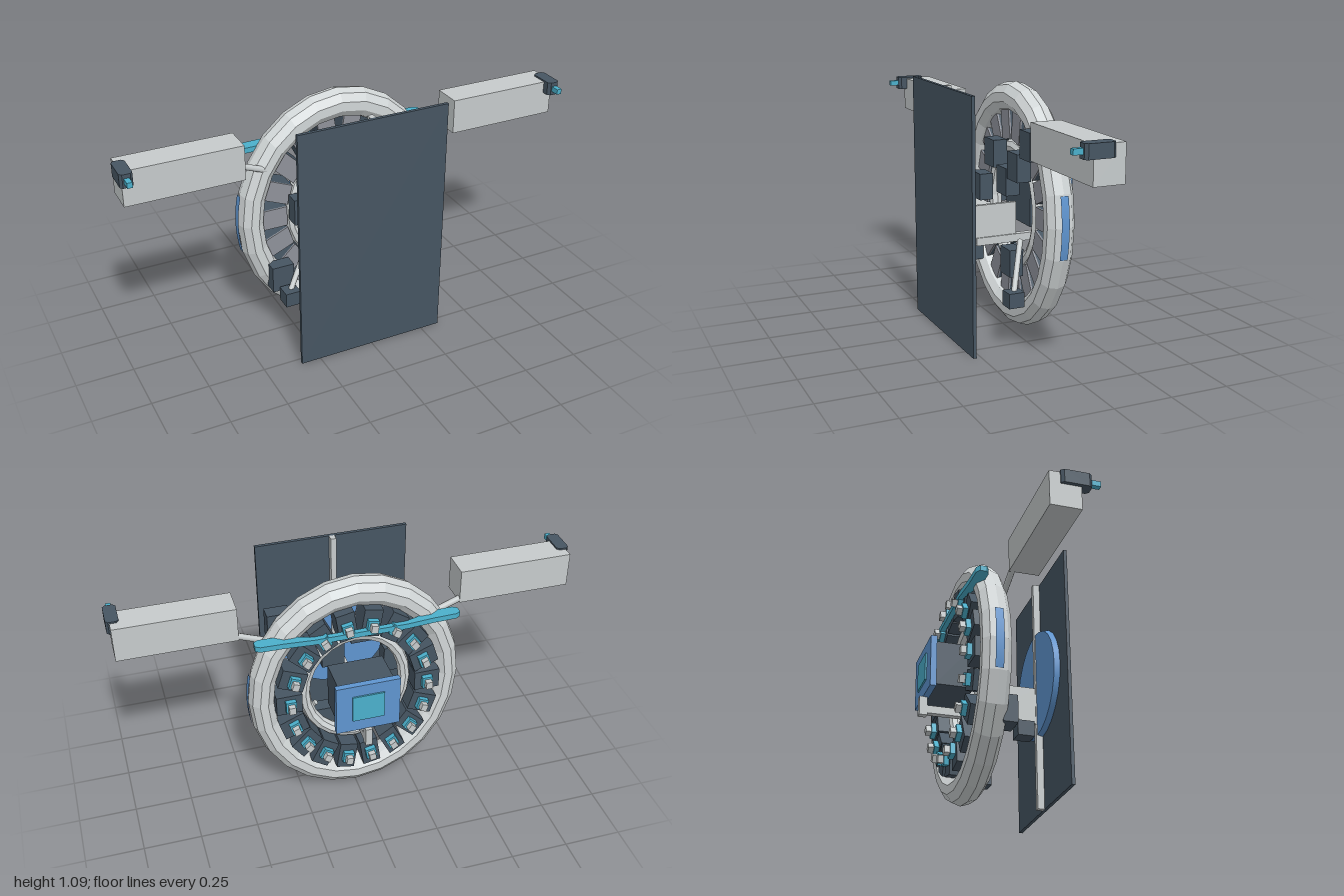
import * as THREE from 'three';

const mat = (name, color, flatShading = false) => {
  const m = new THREE.MeshStandardMaterial({ color, flatShading });
  m.name = name;
  return m;
};

export function createModel() {
  const hull = mat('hull grey', 0xc6cbcc);
  const ringHull = mat('ring white', 0xd2d7d8, true);
  const dark = mat('dark slate', 0x465562);
  const blue = mat('blue', 0x5f95d0);
  const cyan = mat('cyan', 0x4bb0cc);
  const lining = mat('lining grey', 0x8f929a);

  const model = new THREE.Group();
  model.name = 'spaceStation';
  const CY = 0.5475; // ring centre height
  const SX = 0.866; // ring is narrower than tall

  const add = (name, geo, material, parent = model) => {
    const m = new THREE.Mesh(geo, material);
    m.name = name;
    parent.add(m);
    return m;
  };
  // box given by its limits on each axis
  const box = (name, material, [x0, x1], [y0, y1], [z0, z1], parent) => {
    const m = add(name, new THREE.BoxGeometry(x1 - x0, y1 - y0, z1 - z0), material, parent);
    m.position.set((x0 + x1) / 2, (y0 + y1) / 2, (z0 + z1) / 2);
    return m;
  };
  const strut = (name, a, b, r, material) => {
    const p = new THREE.Vector3(...a), q = new THREE.Vector3(...b);
    const m = add(name, new THREE.CylinderGeometry(r, r, p.distanceTo(q), 8), material);
    m.position.copy(p).add(q).multiplyScalar(0.5);
    m.quaternion.setFromUnitVectors(new THREE.Vector3(0, 1, 0), q.sub(p).normalize());
    return m;
  };
  // outline of [x, z] points extruded upward from y0 to y1
  const slab = (name, points, y0, y1, material) => {
    const shape = new THREE.Shape(points.map(([x, z]) => new THREE.Vector2(x, -z)));
    const geo = new THREE.ExtrudeGeometry(shape, { depth: y1 - y0, bevelEnabled: false });
    geo.rotateX(-Math.PI / 2).translate(0, y0, 0);
    return add(name, geo, material);
  };

  // Shield panel with spine and shallow dish on its back
  box('shieldPanel', dark, [-0.337, 0.337], [0, 1.09], [0.27, 0.285]);
  box('panelSpine', hull, [-0.012, 0.012], [0, 1.09], [0.24, 0.27]);
  const dish = add('panelDish', new THREE.CylinderGeometry(0.245, 0.25, 0.025, 24), blue);
  dish.rotation.x = -Math.PI / 2;
  dish.position.set(0, 0.58, 0.2575);

  // Keel joining the panel to the ring, and the long docking bar
  box('keel', hull, [-0.009, 0.009], [0.39, 0.56], [-0.06, 0.25]);
  box('dockingBar', hull, [-0.015, 0.015], [0.38, 0.415], [-0.28, 0.13]);
  box('dockingPost', hull, [-0.015, 0.015], [0.37, 0.455], [-0.285, -0.25]);

  // Main ring
  const ring = new THREE.Group();
  ring.name = 'ring';
  ring.position.set(0, CY, -0.065);
  ring.scale.x = SX;
  model.add(ring);
  add('outerRing', new THREE.TorusGeometry(0.4775, 0.065, 10, 24), ringHull, ring);
  add('innerRing', new THREE.TorusGeometry(0.26, 0.03, 8, 24), ringHull, ring);

  // Modules round the back of the ring
  const COUNT = 18;
  for (let i = 0; i < COUNT; i++) {
    const module = new THREE.Group();
    module.name = 'module';
    module.rotation.z = (i / COUNT) * Math.PI * 2;
    ring.add(module);
    box('moduleBody', dark, [0.29, 0.42], [-0.046, 0.046], [-0.075, 0.02], module);
    box('moduleLining', lining, [0.29, 0.42], [-0.046, 0.046], [0.02, 0.028], module);
    box('moduleCap', cyan, [0.325, 0.377], [-0.027, 0.027], [-0.097, -0.075], module);
    box('moduleLamp', hull, [0.335, 0.368], [-0.017, 0.017], [-0.121, -0.097], module);
  }

  // Blue window strips on the flanks of the ring
  for (const s of [-1, 1]) {
    const arc = 0.5;
    const geo = new THREE.CylinderGeometry(0.546, 0.546, 0.036, 8, 1, true, Math.PI / 2 - arc / 2, arc);
    geo.rotateX(Math.PI / 2);
    const strip = add('windowStrip', geo, blue, ring);
    if (s < 0) strip.rotation.z = Math.PI;
  }

  // Equipment boxes on the front of the ring
  const boxes = [[0.31, 0.87], [0.19, 0.76], [-0.31, 0.29], [-0.1, 0.46],
    [0.08, 0.68], [-0.2, 0.6], [0.12, 0.33], [-0.05, 0.78]];
  for (const [x, y] of boxes) {
    box('equipmentBox', dark, [x - 0.05, x + 0.05], [y - 0.06, y + 0.06], [-0.02, 0.043]);
  }

  // Central hub with stacked end plates
  box('hub', dark, [-0.122, 0.122], [0.47, 0.67], [-0.245, -0.075]);
  box('hubPlate', blue, [-0.14, 0.14], [0.453, 0.687], [-0.27, -0.243]);
  box('hubHatch', cyan, [-0.07, 0.07], [0.51, 0.635], [-0.277, -0.27]);

  // Cyan boom across the back, wider at both tips
  const half = [[0.2, -0.165], [0.32, -0.155], [0.42, -0.152], [0.44, -0.14],
    [0.44, -0.11], [0.42, -0.098], [0.34, -0.1], [0.2, -0.142]];
  slab('boom', [...half, ...half.map(([x, z]) => [-x, z]).reverse()].reverse(), 0.856, 0.88, cyan);

  // Mirrored arms, tip thrusters and lower outriggers
  for (const s of [-1, 1]) {
    const span = (a, b) => (s > 0 ? [a, b] : [-b, -a]);
    box('arm', hull, span(0.483, 0.985), [0.845, 0.998], [-0.03, 0.1]);
    strut('armStrut', [s * 0.35, 0.805, -0.015], [s * 0.5, 0.863, -0.015], 0.014, hull);
    const tip = [[0.957, 0.015], [0.99, 0.015], [1, 0.027], [1, 0.128],
      [0.99, 0.14], [0.957, 0.14], [0.946, 0.128], [0.946, 0.027]];
    slab('armTip', tip.map(([x, z]) => [s * x, z]), 0.947, 1.005, dark);
    box('tipNozzle', cyan, span(0.962, 0.984), [0.965, 0.988], [0.14, 0.18]);
    strut('outriggerStrut', [s * 0.16, 0.43, -0.01], [s * 0.3, 0.24, 0.085], 0.012, hull);
    box('outriggerBox', dark, span(0.265, 0.333), [0.19, 0.255], [0.05, 0.12]);
  }
  return model;
}
